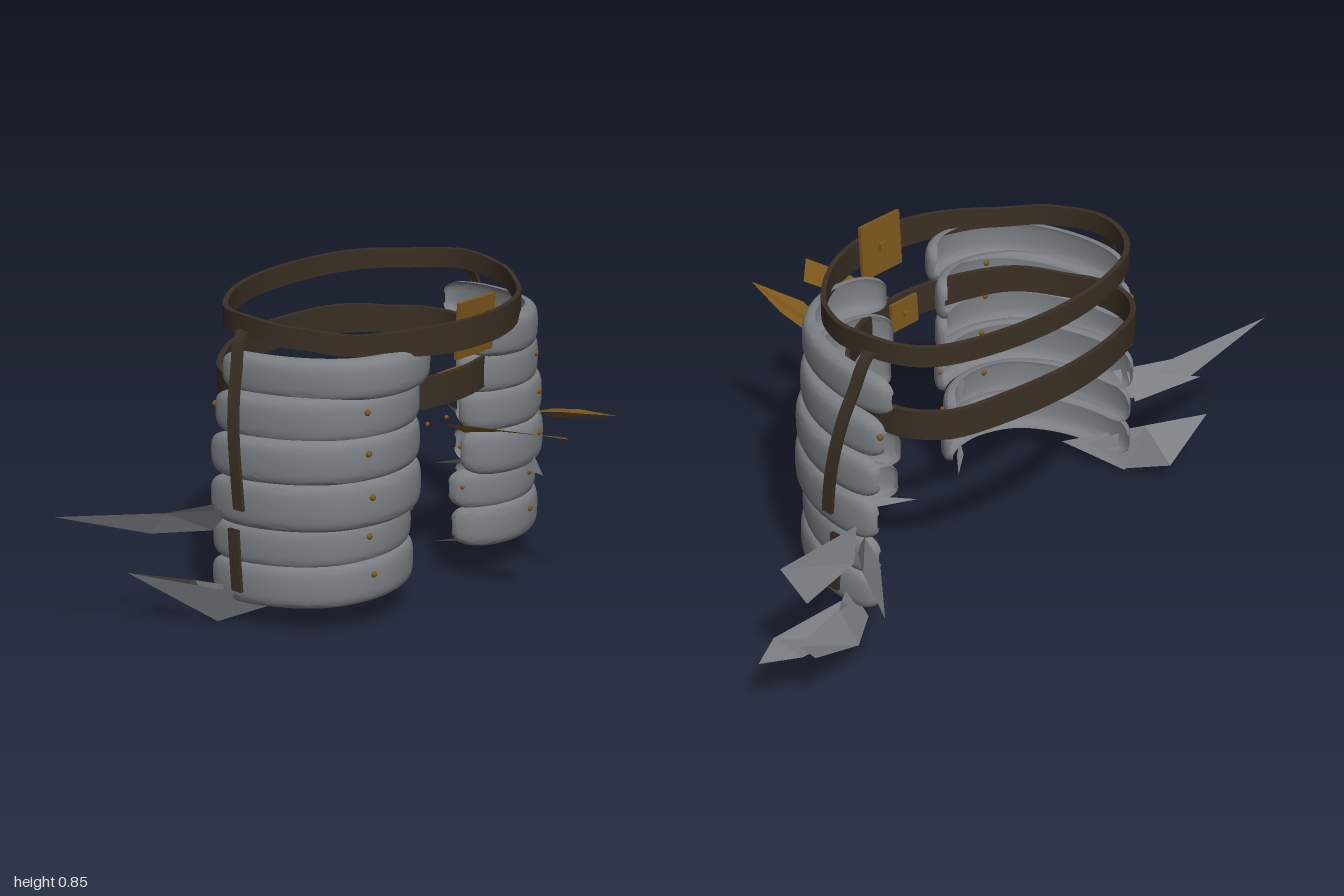
import * as THREE from 'three';
import { toCreasedNormals } from 'three/addons/utils/BufferGeometryUtils.js';

const CX = -0.025; // middle of the waist

const mat = (name, color) => {
  const m = new THREE.MeshStandardMaterial({ color, side: THREE.DoubleSide });
  m.name = name;
  return m;
};

// Skin a list of equal-length rows of points
function loft(rows, closeRows, closeCols, crease = 0.6) {
  const n = rows.length, m = rows[0].length, idx = [];
  for (let i = 0; i < (closeRows ? n : n - 1); i++) {
    for (let j = 0; j < (closeCols ? m : m - 1); j++) {
      const i2 = (i + 1) % n, j2 = (j + 1) % m;
      const a = i * m + j, b = i2 * m + j, c = i2 * m + j2, d = i * m + j2;
      idx.push(a, b, c, a, c, d);
    }
  }
  const g = new THREE.BufferGeometry();
  g.setAttribute('position', new THREE.Float32BufferAttribute(rows.flat(2), 3));
  g.setIndex(idx);
  return toCreasedNormals(g, crease);
}

// Torn sheet: a triangle strip through the points
function shardGeometry(pts) {
  const tri = [];
  for (let i = 0; i + 2 < pts.length; i++) {
    const [a, b, c] = pts.slice(i, i + 3);
    tri.push(...(i % 2 ? [b, a, c] : [a, b, c]).flat());
  }
  const g = new THREE.BufferGeometry();
  g.setAttribute('position', new THREE.Float32BufferAttribute(tri, 3));
  g.computeVertexNormals();
  return g;
}

// Wavy egg-shaped waist belt; lows gives its lower edge from front (first) to back (last)
function beltGeometry(cz, rx, rz, lows, heights) {
  const pick = (a, t) => {
    const f = t * (a.length - 1), i = Math.min(a.length - 2, Math.floor(f));
    const k = f - i, s = k * k * (3 - 2 * k);
    return a[i] + (a[i + 1] - a[i]) * s;
  };
  const rows = [];
  for (let i = 0; i < 72; i++) {
    const a = (i / 72) * Math.PI * 2, c = Math.cos(a), t = (1 - c) / 2;
    const wide = Math.sin(a) * (1 - 0.13 * c), deep = c < 0 ? -Math.pow(-c, 0.87) : c;
    const lo = pick(lows, t), hi = lo + pick(heights, t);
    const p = (o, y) => [CX + wide * (rx - o), y, cz + deep * (rz - o)];
    rows.push([p(0, lo), p(0, hi), p(0.014, hi), p(0.014, lo)]);
  }
  return loft(rows, true, true);
}

// Narrow hanging strap along [x, y, z] points
function strapGeometry(pts, s) {
  const curve = new THREE.CatmullRomCurve3(pts.map(p => new THREE.Vector3(...p)));
  const rows = curve.getPoints(16).map(({ x, y, z }) =>
    [[0, -1], [0, 1], [-0.01, 1], [-0.01, -1]].map(([o, w]) => [CX + s * (x + o), y, z + w * 0.017]));
  return loft(rows, false, true);
}

// Outline of a thigh plate seen from above, inner front to outer back
const thigh = new THREE.CatmullRomCurve3([
  [0.112, 0.01], [0.165, 0.055], [0.23, 0.076], [0.31, 0.074], [0.41, 0.028], [0.475, -0.06],
  [0.51, -0.18], [0.508, -0.315],
].map(([x, z]) => new THREE.Vector3(x, 0, z)));

// Bottom, top, width scale and forward shift of each plate
const plates = [
  [0.65, 0.762, 0.89, 0.03], [0.54, 0.664, 0.95, 0.0], [0.43, 0.555, 0.99, 0.005],
  [0.305, 0.44, 1, 0.01], [0.198, 0.318, 0.99, -0.03], [0.09, 0.214, 1, -0.02],
];

// Point on a plate: u runs along it, v from bottom to top edge
function platePoint([y0, y1, sx, dz], s, u, v) {
  const p = thigh.getPointAt(u), t = thigh.getTangentAt(u);
  const e = Math.pow(Math.max(0, 1 - Math.pow(Math.abs(2 * u - 1), 11)), 0.5);
  const a = v * Math.PI, c = Math.cos(a);
  const off = 0.036 * Math.pow(Math.max(0, Math.sin(a)), 0.6) * (0.2 + 0.8 * e);
  const k = -Math.sign(c) * Math.pow(Math.abs(c), 0.65);
  const y = (y0 + y1) / 2 + k * (y1 - y0) / 2 * (0.3 + 0.7 * e) - 0.026 * u;
  return [CX + s * (p.x * sx - t.z * off), y, p.z + dz * (1 - u) + t.x * off];
}

function plateGeometry(row, s) {
  const rows = [];
  for (let i = 0; i <= 48; i++) {
    const u = (1 - Math.cos((i / 48) * Math.PI)) / 2; // denser at the rounded ends
    rows.push(Array.from({ length: 17 }, (_, j) => platePoint(row, s, u, j / 16)));
  }
  return loft(rows, false, false, 1.2);
}

export function createModel() {
  const steel = mat('steel', 0x7c8084);
  const leather = mat('dark leather', 0x3a2f23);
  const brass = mat('brass', 0x7d571c);
  const model = new THREE.Group();
  model.name = 'thighArmour';
  const add = (name, geo, material, parent = model) => {
    const m = new THREE.Mesh(geo, material);
    m.name = name;
    parent.add(m);
    return m;
  };

  // Belts
  add('upperBelt', beltGeometry(-0.157, 0.457, 0.345,
    [0.732, 0.748, 0.765, 0.778, 0.774, 0.785], [0.08, 0.056, 0.056, 0.056, 0.055, 0.058]), leather);
  add('lowerBelt', beltGeometry(-0.215, 0.442, 0.318,
    [0.562, 0.58, 0.57, 0.57, 0.575, 0.598], [0.085, 0.075, 0.07, 0.08, 0.08, 0.085]), leather);

  // Buckles tucked behind the belts
  const buckle = (name, y, z, w, h) => {
    const b = add(name, new THREE.BoxGeometry(w, h, 0.01), brass);
    b.position.set(CX, y, z);
    b.rotation.x = 0.07;
    const pin = add(name + 'Pin', new THREE.BoxGeometry(w * 0.16, h * 0.14, 0.016), brass, b);
    pin.position.z = -0.006;
  };
  buckle('upperBuckle', 0.777, 0.158, 0.15, 0.155);
  buckle('lowerBuckle', 0.602, 0.072, 0.1, 0.08);

  const rivetGeo = new THREE.SphereGeometry(0.009, 8, 6);
  const smallRivetGeo = new THREE.SphereGeometry(0.006, 8, 6);
  for (const s of [1, -1]) {
    const side = new THREE.Group();
    side.name = s > 0 ? 'leftThigh' : 'rightThigh';
    model.add(side);

    // Overlapping plates with their rivets
    plates.forEach((row, i) => {
      add('plate', plateGeometry(row, s), steel, side);
      const spots = [platePoint(row, s, 0.4 - i * 0.013, 0.55)];
      if (i < 2) spots.push(platePoint(row, s, 0.995, 0.6));
      if (i > 0) for (const p of spots) add('rivet', rivetGeo, brass, side).position.set(...p);
    });
    for (const [x, y] of [[0.04, 0.49], [0.1, 0.39], [0.11, 0.27]]) {
      add('innerRivet', smallRivetGeo, brass, side).position.set(CX + s * x, y, 0.03);
    }

    // Side straps
    add('upperStrap', strapGeometry([[0.468, 0.795, -0.243], [0.49, 0.76, -0.238], [0.508, 0.7, -0.229],
      [0.533, 0.63, -0.217], [0.552, 0.54, -0.203], [0.561, 0.44, -0.189], [0.562, 0.34, -0.18]], s), leather, side);
    add('lowerStrap', strapGeometry([[0.558, 0.28, -0.205], [0.56, 0.2, -0.2], [0.56, 0.11, -0.195]], s), leather, side);

    // Thin torn slivers at the inner edges
    for (const y of [0.1, 0.33]) {
      add('innerSliver', shardGeometry([[0.22, y, 0.06], [0.19, y - 0.012, 0.02], [0.15, y + 0.01, 0.01],
        [0.085, y, -0.055]].map(([x, a, z]) => [CX + s * x, a, z])), steel, side);
    }
  }

  // Torn steel sheets sweeping outward and back
  const shards = {
    leftUpperShard: [[0.5, 0.26, -0.22], [0.52, 0.33, -0.27], [0.57, 0.26, -0.31], [0.86, 0.4, -0.34], [0.85, 0.33, -0.42]],
    leftUpperSpike: [[0.5, 0.24, -0.25], [0.52, 0.31, -0.3], [0.58, 0.25, -0.35], [0.57, 0.3, -0.4], [0.7, 0.265, -0.54]],
    leftLowerShard: [[0.48, 0.1, -0.2], [0.49, 0.04, -0.28], [0.62, 0.14, -0.3], [0.64, 0.08, -0.39],
      [0.86, 0.2, -0.4], [0.87, 0.2, -0.465]],
    leftLowerFin: [[0.5, 0.05, -0.25], [0.6, 0.15, -0.29], [0.7, 0.11, -0.36], [0.88, 0.2, -0.33],
      [0.86, 0.17, -0.41], [0.99, 0.21, -0.39]],
    leftFrontShard: [[0.32, 0.33, 0.09], [0.3, 0.28, 0.07], [0.26, 0.29, 0.175]],
    rightUpperShard: [[-0.55, 0.32, -0.24], [-0.56, 0.25, -0.3], [-0.7, 0.33, -0.33], [-0.72, 0.27, -0.37], [-1, 0.38, -0.43]],
    rightUpperFin: [[-0.56, 0.33, -0.28], [-0.54, 0.26, -0.33], [-0.72, 0.3, -0.42]],
    rightLowerShard: [[-0.5, 0.09, -0.2], [-0.57, 0.005, -0.28], [-0.63, 0.13, -0.3], [-0.6, 0.06, -0.42], [-0.76, 0.16, -0.42]],
    rightLowerFin: [[-0.55, 0.08, -0.25], [-0.76, 0.16, -0.42], [-0.57, 0, -0.28], [-0.48, 0.07, -0.12]],
  };
  for (const [name, pts] of Object.entries(shards)) add(name, shardGeometry(pts), steel);

  // Loose brass tabs pointing forward
  add('rightTab', shardGeometry([[-0.13, 0.53, 0.145], [-0.12, 0.515, 0.2], [-0.14, 0.545, 0.25], [-0.09, 0.53, 0.3],
    [-0.14, 0.56, 0.4], [-0.05, 0.54, 0.48], [-0.12, 0.565, 0.54]]), brass);
  add('leftTab', shardGeometry([[0.1, 0.53, 0.26], [0.07, 0.54, 0.3], [0.12, 0.52, 0.31], [0.06, 0.56, 0.37],
    [0.12, 0.54, 0.4], [0.095, 0.575, 0.54]]), brass);
  add('leftTabFold', shardGeometry([[0.1, 0.53, 0.26], [0.12, 0.545, 0.31], [0.095, 0.55, 0.36], [0.12, 0.56, 0.4],
    [0.095, 0.575, 0.54]]), brass);

  return model;
}
